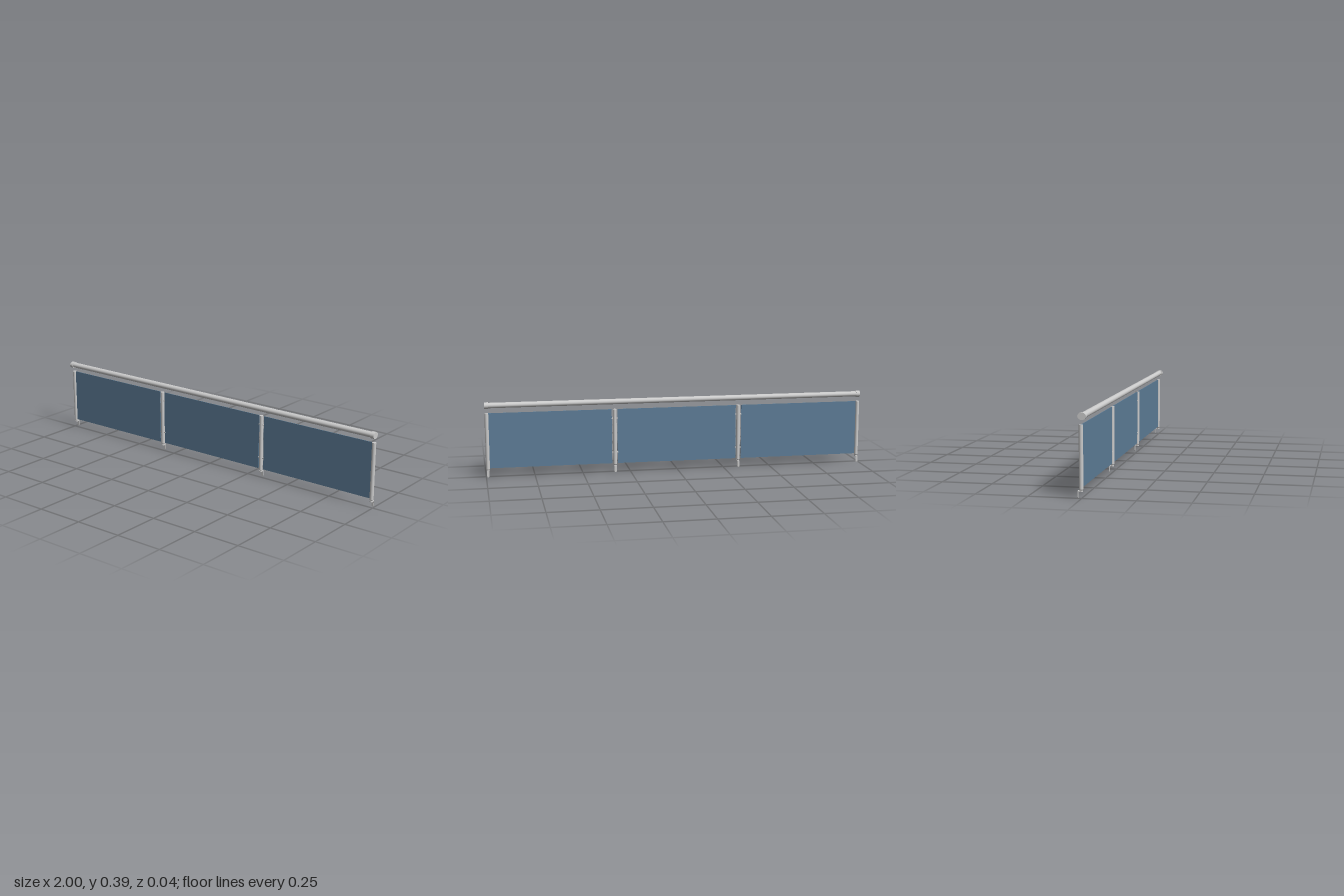
import * as THREE from 'three';

export function createModel() {
  const group = new THREE.Group();
  const metal = new THREE.MeshStandardMaterial({ color: 0xcccccc });
  const glass = new THREE.MeshStandardMaterial({ color: 0x5f7f9a });
  const postZ = -0.004;

  const add = (parent, name, geometry, material, x, y, z) => {
    const mesh = new THREE.Mesh(geometry, material);
    mesh.name = name;
    mesh.position.set(x, y, z);
    parent.add(mesh);
    return mesh;
  };

  // Oval handrail with a slightly larger collar at each end
  const oval = (length, height, depth) =>
    new THREE.CylinderGeometry(1, 1, length, 32).rotateZ(Math.PI / 2).scale(1, height / 2, depth / 2);
  add(group, 'handrail', oval(1.99, 0.028, 0.032), metal, 0, 0.372, 0.002);
  for (const side of [-1, 1]) {
    add(group, 'railEndCap', oval(0.02, 0.034, 0.04), metal, side * 0.99, 0.372, 0.002);
  }

  // Post: round tube with a rounded lower edge
  const postGeometry = new THREE.LatheGeometry([
    [0, 0.036], [0.006, 0.036], [0.0085, 0.038], [0.01, 0.042], [0.01, 0.333], [0.01, 0.333], [0, 0.333],
  ].map(([r, y]) => new THREE.Vector2(r, y)), 24);

  // Rounded tongue that drops behind the floor edge
  const tongue = new THREE.Shape();
  tongue.moveTo(-0.006, 0.034);
  tongue.lineTo(-0.006, 0.006);
  tongue.absarc(0, 0.006, 0.006, Math.PI, Math.PI * 2, false);
  tongue.lineTo(0.006, 0.034);
  const tongueGeometry = new THREE.ExtrudeGeometry(tongue, { depth: 0.003, bevelEnabled: false });

  const postXs = [-0.99, -0.33, 0.33, 0.99];
  postXs.forEach((x, i) => {
    const post = new THREE.Group();
    post.name = 'postAssembly';
    post.position.x = x;
    group.add(post);
    add(post, 'post', postGeometry, metal, 0, 0, postZ);
    add(post, 'postStem', new THREE.CylinderGeometry(0.005, 0.005, 0.006, 16), metal, 0, 0.035, postZ);
    // Angled mounting foot
    add(post, 'footPlate', new THREE.BoxGeometry(0.012, 0.005, 0.014), metal, 0, 0.0315, -0.011);
    add(post, 'footPad', new THREE.CylinderGeometry(0.008, 0.008, 0.005, 20), metal, 0, 0.0315, postZ);
    add(post, 'footTongue', tongueGeometry, metal, 0, 0, -0.02);
    // Panel clips on the middle posts
    if (i === 1 || i === 2) {
      for (const side of [-1, 1]) {
        for (const y of [0.105, 0.285]) {
          add(post, 'panelClip', new THREE.BoxGeometry(0.01, 0.005, 0.005), metal, side * 0.0125, y, postZ);
        }
      }
    }
  });

  // Infill panels, with a small gap at the middle posts
  for (const [x0, x1] of [[-0.982, -0.346], [-0.316, 0.316], [0.346, 0.982]]) {
    add(group, 'infillPanel', new THREE.BoxGeometry(x1 - x0, 0.288, 0.003), glass, (x0 + x1) / 2, 0.189, postZ);
  }

  return group;
}
